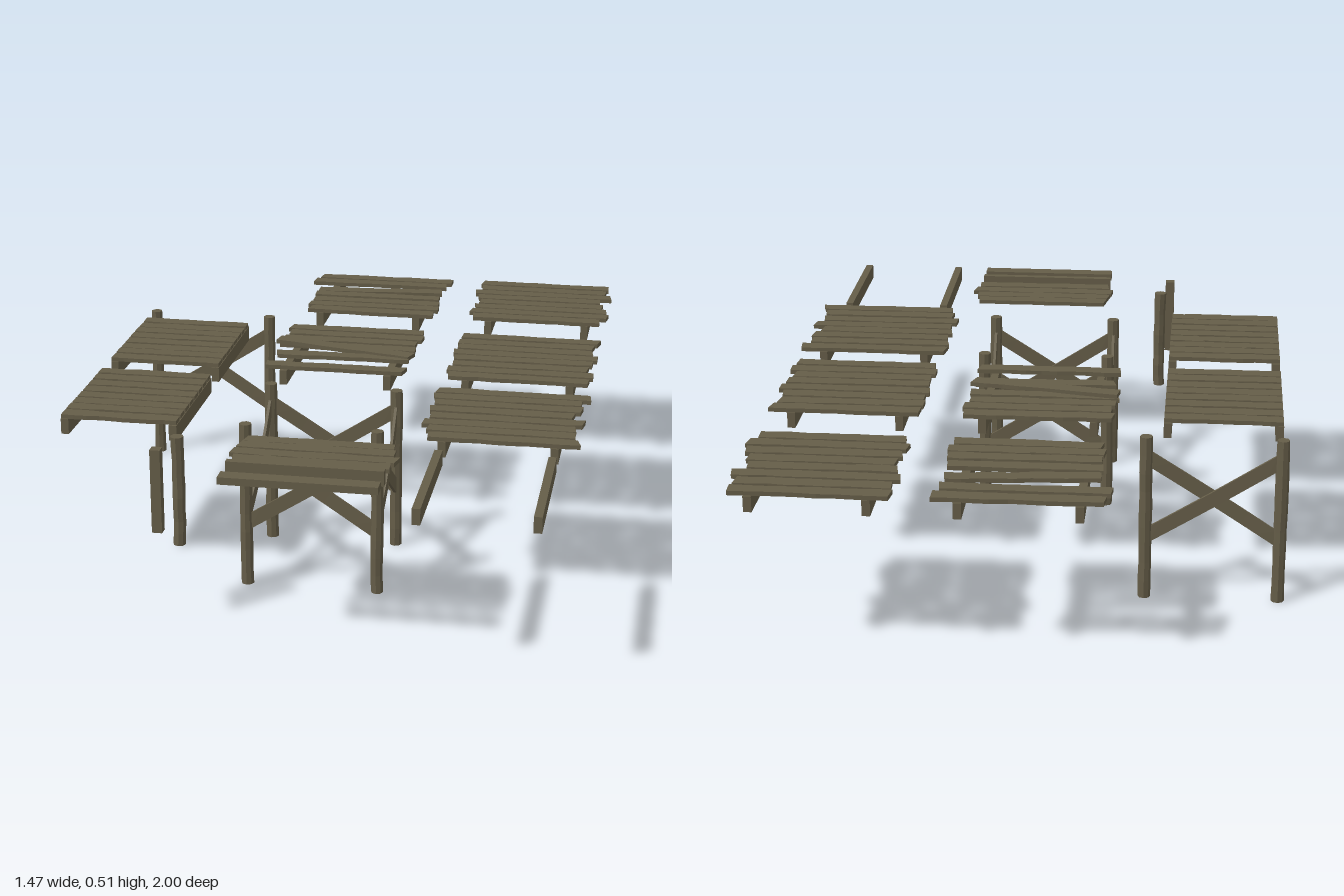
import * as THREE from 'three';

const wood = new THREE.MeshStandardMaterial({ color: 0x655d48, flatShading: true });
wood.name = 'weathered wood';

// repeatable noise in -1..1
const noise = (a, b, c) => {
  const s = Math.sin(a * 127.1 + b * 311.7 + c * 74.7) * 43758.5453;
  return (s - Math.floor(s)) * 2 - 1;
};
let seed = 1;

function add(parent, name, geometry, x, y, z) {
  const mesh = new THREE.Mesh(geometry, wood);
  mesh.name = name;
  mesh.position.set(x, y, z);
  parent.add(mesh);
  return mesh;
}

function group(parent, name) {
  const g = new THREE.Group();
  g.name = name;
  parent.add(g);
  return g;
}

// plank along x with ragged long edges and slightly skewed ends
function plank(parent, x0, x1, z, { y = 0.491, w = 0.043, t = 0.012, turn = 0, tilt = 0, skew = 0.006 } = {}) {
  const len = x1 - x0, id = seed++;
  const geo = new THREE.BoxGeometry(len, t, w, 9, 1, 1);
  const p = geo.attributes.position;
  for (let i = 0; i < p.count; i++) {
    const x = p.getX(i), side = Math.sign(p.getZ(i));
    const station = Math.round((x / len + 0.5) * 9);
    p.setZ(i, p.getZ(i) + noise(station, side, id) * 0.003);
    if (station === 0 || station === 9) p.setX(i, x + noise(side, station, id + 50) * skew);
  }
  geo.computeVertexNormals();
  const m = add(parent, 'plank', geo, (x0 + x1) / 2, y + noise(id, 2, 3) * 0.001, z);
  m.rotation.set(0, turn, tilt);
  return m;
}

// rough round post
function post(parent, x, z, y0, y1) {
  const h = y1 - y0, id = seed++;
  const geo = new THREE.CylinderGeometry(0.018, 0.018, h, 8, 9);
  const p = geo.attributes.position;
  for (let i = 0; i < p.count; i++) {
    const k = Math.round((p.getY(i) / h + 0.5) * 9);
    p.setX(i, p.getX(i) * (1 + noise(k, 1, id) * 0.05) + noise(k, 2, id) * 0.0012);
    p.setZ(i, p.getZ(i) * (1 + noise(k, 1, id) * 0.05) + noise(k, 3, id) * 0.0012);
  }
  geo.computeVertexNormals();
  add(parent, 'post', geo, x, (y0 + y1) / 2, z);
}

// pair of crossed braces, centred between two posts
function crossBrace(parent, x, z, span, alongZ) {
  const g = group(parent, 'crossBrace');
  g.position.set(x, 0.308, z);
  if (alongZ) g.rotation.y = Math.PI / 2;
  const angle = Math.atan2(0.225, span), len = Math.hypot(span, 0.225);
  for (const s of [-1, 1]) {
    const geo = new THREE.BoxGeometry(len, 0.04, 0.008, 8, 1, 1);
    const p = geo.attributes.position;
    // braces bow apart where they cross; ends are cut upright at the posts
    for (let i = 0; i < p.count; i++) {
      const u = p.getX(i) / len;
      p.setZ(i, p.getZ(i) + s * 0.005 * Math.cos(u * Math.PI));
      p.setX(i, p.getX(i) + s * p.getY(i) * Math.tan(angle) * (Math.abs(u) > 0.49 ? 1 : 0));
    }
    geo.computeVertexNormals();
    add(g, 'brace', geo, 0, 0, 0).rotation.z = s * angle;
  }
}

function beam(parent, x, z, len = 0.415) {
  add(parent, 'beam', new THREE.BoxGeometry(0.022, 0.044, len), x, 0.462, z);
}

export function createModel() {
  const model = new THREE.Group();
  model.name = 'woodenWalkwayKit';

  // wide platforms: plank ends as [left, right]
  const wide = [
    [-0.795, [[0.29, 0.71], [0.29, 0.705], [0.28, 0.725], [0.295, 0.695], [0.305, 0.705], [0.295, 0.715], [0.285, 0.725], [0.3, 0.705]]],
    [-0.205, [[0.29, 0.715], [0.285, 0.70], [0.295, 0.705], [0.285, 0.715], [0.295, 0.71], [0.30, 0.70], [0.285, 0.715], [0.295, 0.71]]],
    [0.312, [[0.285, 0.725], [0.285, 0.70], [0.295, 0.71], [0.285, 0.69], [0.29, 0.72], [0.28, 0.705], [0.30, 0.71], [0.31, 0.72]]],
  ];
  for (const [zc, ends] of wide) {
    const g = group(model, 'widePlatform');
    ends.forEach(([a, b], i) => plank(g, a, b, zc + (i - 3.5) * 0.0528, { turn: noise(i, zc, 4) * 0.012 }));
    for (const x of [0.35, 0.656]) beam(g, x, zc);
  }

  // narrow platforms with squarely cut planks
  for (const zc of [-0.195, 0.315]) {
    const g = group(model, 'narrowPlatform');
    for (let i = 0; i < 8; i++) plank(g, -0.72, -0.39, zc + (i - 3.5) * 0.0525, { skew: 0 });
    for (const x of [-0.71, -0.4]) beam(g, x, zc);
  }

  // broken platforms: [left, right, z, turn]
  const broken = [
    [-0.795, [[-0.26, 0.185, -0.975, 0], [-0.27, 0.17, -0.92, 0], [-0.24, 0.17, -0.835, 0.09], [-0.245, 0.165, -0.77, 0],
      [-0.23, 0.175, -0.71, 0.01], [-0.24, 0.18, -0.66, 0], [-0.23, 0.17, -0.607, -0.015]]],
    [-0.205, [[-0.25, 0.17, -0.393, 0.01], [-0.235, 0.18, -0.34, 0], [-0.25, 0.16, -0.287, 0], [-0.255, 0.165, -0.232, -0.02],
      [-0.24, 0.165, -0.135, 0.02], [-0.25, 0.165, -0.024, 0]]],
  ];
  for (const [zc, planks] of broken) {
    const g = group(model, 'brokenPlatform');
    for (const [a, b, z, turn] of planks) plank(g, a, b, z, { turn });
    for (const x of [-0.195, 0.117]) beam(g, x, zc);
  }
  // loose plank lying diagonally on the broken platform
  plank(model, -0.255, 0.175, -0.192, { y: 0.5, turn: -0.2, tilt: -0.012 });

  // square support tower
  const tower = group(model, 'supportTower');
  for (const x of [-0.205, 0.167]) {
    for (const z of [0.13, 0.475]) post(tower, x, z, 0.005, 0.487);
    crossBrace(tower, x, 0.3025, 0.325, true);
  }
  for (const z of [0.13, 0.475]) crossBrace(tower, -0.019, z, 0.35, false);

  // single support frame
  const frame = group(model, 'supportFrame');
  for (const x of [-0.718, -0.346]) post(frame, x, -0.51, 0.005, 0.487);
  crossBrace(frame, -0.532, -0.51, 0.35, false);

  // spare posts
  const spares = group(model, 'spareParts');
  post(spares, -0.346, 0.678, 0.2, 0.514);
  add(spares, 'squarePost', new THREE.BoxGeometry(0.028, 0.236, 0.028), -0.375, 0.401, 0.792);

  // spare planks, rail and board
  [[-0.17, 0.24, 0.62], [-0.18, 0.245, 0.667], [-0.19, 0.258, 0.718], [-0.175, 0.245, 0.768]]
    .forEach(([a, b, z]) => plank(spares, a, b, z, { y: 0.495 }));
  add(spares, 'rail', new THREE.BoxGeometry(0.42, 0.042, 0.02), 0.033, 0.492, 0.826);
  add(spares, 'board', new THREE.BoxGeometry(0.42, 0.02, 0.044), 0.033, 0.496, 0.91);

  // spare beams
  for (const x of [0.35, 0.656]) beam(spares, x, 0.79, 0.42);

  return model;
}
